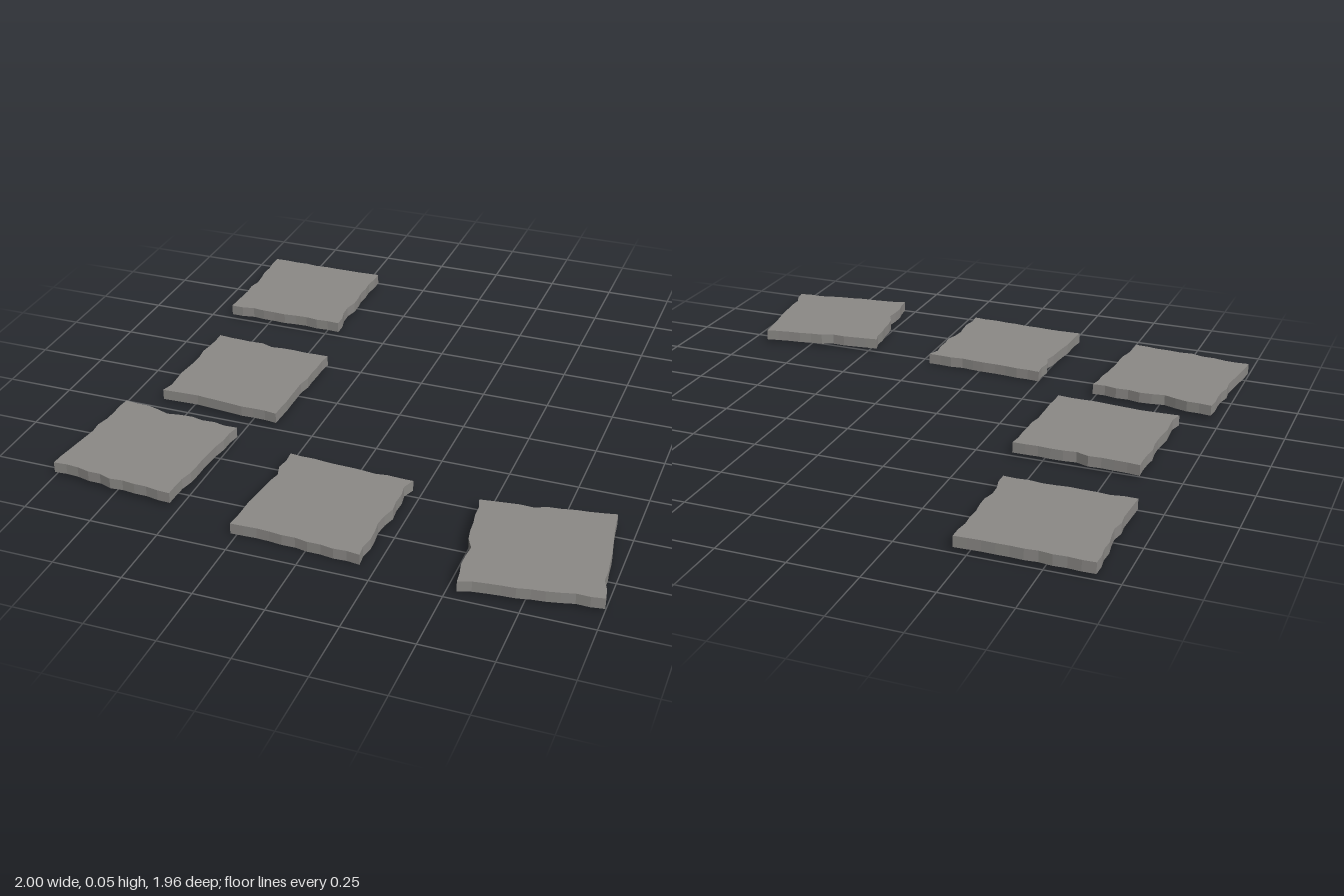
import * as THREE from 'three';

const SIDE = 0.468;
const THICKNESS = 0.04;
const STEPS = 10; // outline points per edge

// Chips are [edge, position along it, depth]; edges run clockwise: back, right, front, left
const SLABS = [
  { name: 'backSlab', at: [-0.681, 0.01, -0.748], turn: 0, chips: [[1, 0.75, 0.014], [3, 0.55, 0.011]] },
  { name: 'middleSlab', at: [-0.628, 0.01, -0.02], turn: -0.04, chips: [[0, 0.55, 0.01], [2, 0.75, 0.008], [3, 0.15, 0.01]] },
  { name: 'cornerSlab', at: [-0.747, 0.014, 0.58], turn: -0.085, chips: [[0, 0.42, 0.012], [2, 0.45, -0.009]] },
  { name: 'frontSlab', at: [-0.029, 0, 0.686], turn: -0.045, chips: [[1, 0.12, 0.011], [1, 0.6, 0.01], [3, 0.7, 0.012]] },
  { name: 'leftSlab', at: [0.734, 0.01, 0.706], turn: 0.15, chips: [[0, 0.4, 0.009], [1, 0.8, 0.012], [3, 0.4, 0.01]] },
];

function seededRandom(seed) {
  let state = seed;
  return () => {
    state = (state * 16807) % 2147483647;
    return state / 2147483647;
  };
}

// Square outline with a slight roughness and a few deeper chips; corners stay put
function slabOutline(chips, random) {
  const centre = new THREE.Vector2();
  const points = [];
  for (let edge = 0; edge < 4; edge++) {
    for (let k = 0; k < STEPS; k++) {
      const t = k / STEPS;
      let inset = k === 0 ? 0 : random() * 0.01 - 0.002;
      for (const [chipEdge, position, depth] of chips) {
        if (chipEdge === edge && k > 0) inset += depth * Math.exp(-(((t - position) / 0.08) ** 2));
      }
      const point = new THREE.Vector2((t - 0.5) * SIDE, SIDE / 2 - inset);
      points.push(point.rotateAround(centre, -edge * Math.PI / 2));
    }
  }
  return new THREE.Shape(points);
}

export function createModel() {
  const stone = new THREE.MeshStandardMaterial({ color: 0x8c8a87 });
  stone.name = 'grey stone';

  const random = seededRandom(4177);
  const group = new THREE.Group();
  group.name = 'steppingStones';
  for (const { name, at, turn, chips } of SLABS) {
    const geometry = new THREE.ExtrudeGeometry(slabOutline(chips, random), { depth: THICKNESS, bevelEnabled: false });
    geometry.rotateX(-Math.PI / 2);
    const slab = new THREE.Mesh(geometry, stone);
    slab.name = name;
    slab.position.set(...at);
    slab.rotation.y = turn;
    group.add(slab);
  }
  return group;
}
